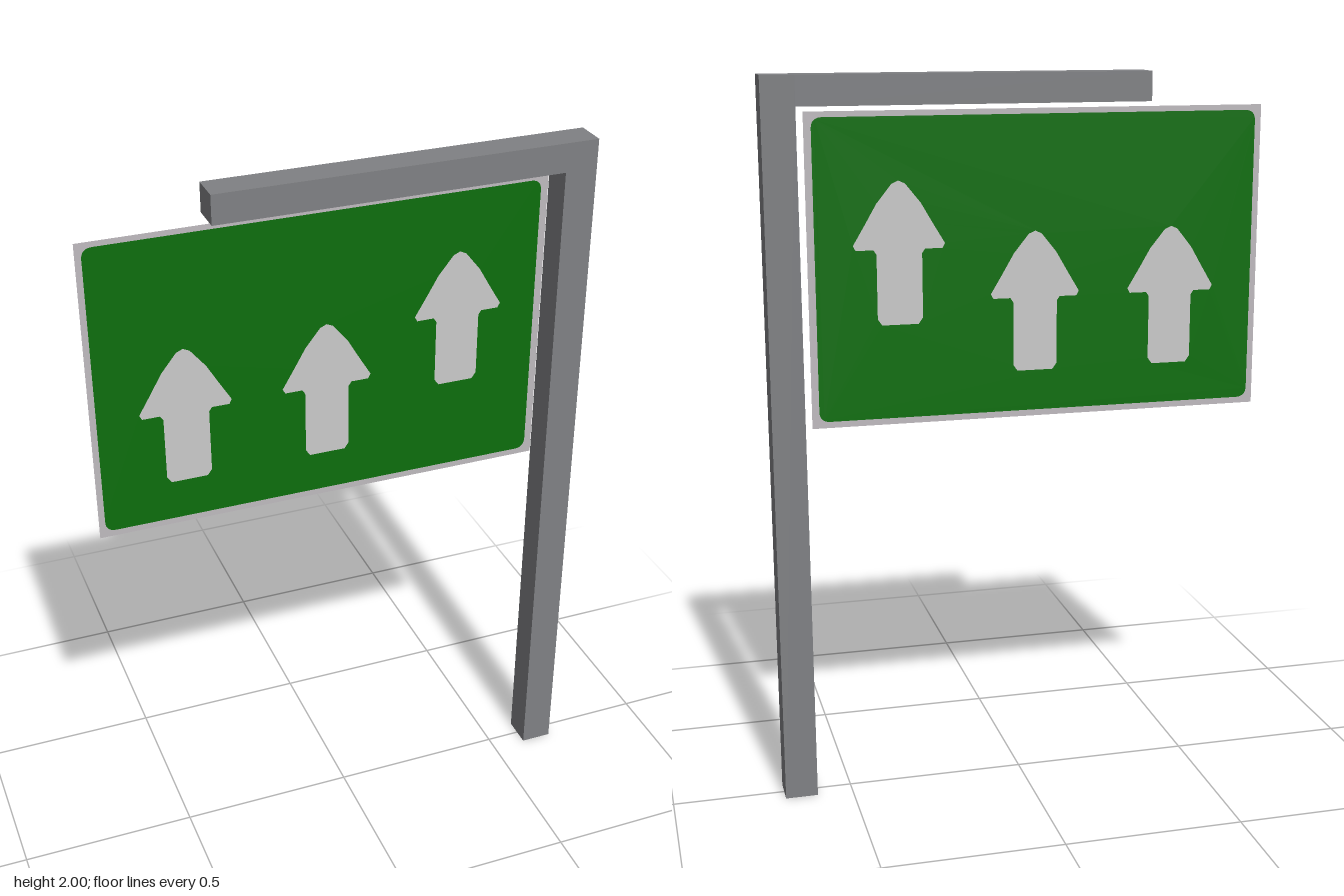
import * as THREE from 'three';

const mat = (name, color, side = THREE.DoubleSide) => {
  const m = new THREE.MeshStandardMaterial({ color, side });
  m.name = name;
  return m;
};

// Rounded rectangle outline, added to a Shape or Path
function roundedRect(path, x0, y0, x1, y1, r) {
  path.moveTo(x0 + r, y0);
  path.lineTo(x1 - r, y0);
  path.quadraticCurveTo(x1, y0, x1, y0 + r);
  path.lineTo(x1, y1 - r);
  path.quadraticCurveTo(x1, y1, x1 - r, y1);
  path.lineTo(x0 + r, y1);
  path.quadraticCurveTo(x0, y1, x0, y1 - r);
  path.lineTo(x0, y0 + r);
  path.quadraticCurveTo(x0, y0, x0 + r, y0);
  return path;
}

// Upward arrow with its tip at (x, y)
function arrow(path, x, y) {
  const half = [
    [0.018, -0.008], [0.06, -0.06], [0.092, -0.115], [0.125, -0.17],
    [0.118, -0.183], [0.07, -0.183], [0.062, -0.195], [0.062, -0.37], [0.05, -0.387],
  ];
  path.moveTo(x, y);
  half.forEach(([px, py]) => path.lineTo(x + px, y + py));
  half.reverse().forEach(([px, py]) => path.lineTo(x - px, y + py));
  path.lineTo(x, y);
  return path;
}

export function createModel() {
  const group = new THREE.Group();
  const grey = mat('post grey', 0x808184);
  const green = mat('sign green', 0x0d6e0d);
  const white = mat('arrow white', 0xcacaca);
  const rim = mat('border grey', 0xbfbbbf);
  const add = (name, geometry, material, x = 0, y = 0, z = 0) => {
    const mesh = new THREE.Mesh(geometry, material);
    mesh.name = name;
    mesh.position.set(x, y, z);
    group.add(mesh);
  };

  // Hollow upright, open at the foot (bottom face dropped)
  const post = new THREE.BoxGeometry(0.09, 2, 0.09);
  const index = Array.from(post.index.array);
  index.splice(18, 6);
  post.setIndex(index);
  post.clearGroups();
  add('post', post, grey, 0.645, 1, 0);

  // Overhead arm
  add('arm', new THREE.BoxGeometry(0.96, 0.08, 0.09), grey, 0.12, 1.96, 0);

  // Flat sign sheet: border, field and arrows share one plane, seen from both sides
  const z = -0.005;
  const field = [-0.675, 1.077, 0.557, 1.89, 0.03];
  const border = roundedRect(new THREE.Shape(), -0.692, 1.06, 0.577, 1.905, 0.001);
  border.holes.push(roundedRect(new THREE.Path(), ...field));
  add('signBorder', new THREE.ShapeGeometry(border), rim, 0, 0, z);

  const panel = roundedRect(new THREE.Shape(), ...field);
  [[-0.437, 1.577], [-0.046, 1.577], [0.33, 1.722]].forEach(([x, y], i) => {
    panel.holes.push(arrow(new THREE.Path(), x, y));
    add('arrow' + (i + 1), new THREE.ShapeGeometry(arrow(new THREE.Shape(), x, y)), white, 0, 0, z);
  });
  add('signPanel', new THREE.ShapeGeometry(panel), green, 0, 0, z);

  return group;
}
